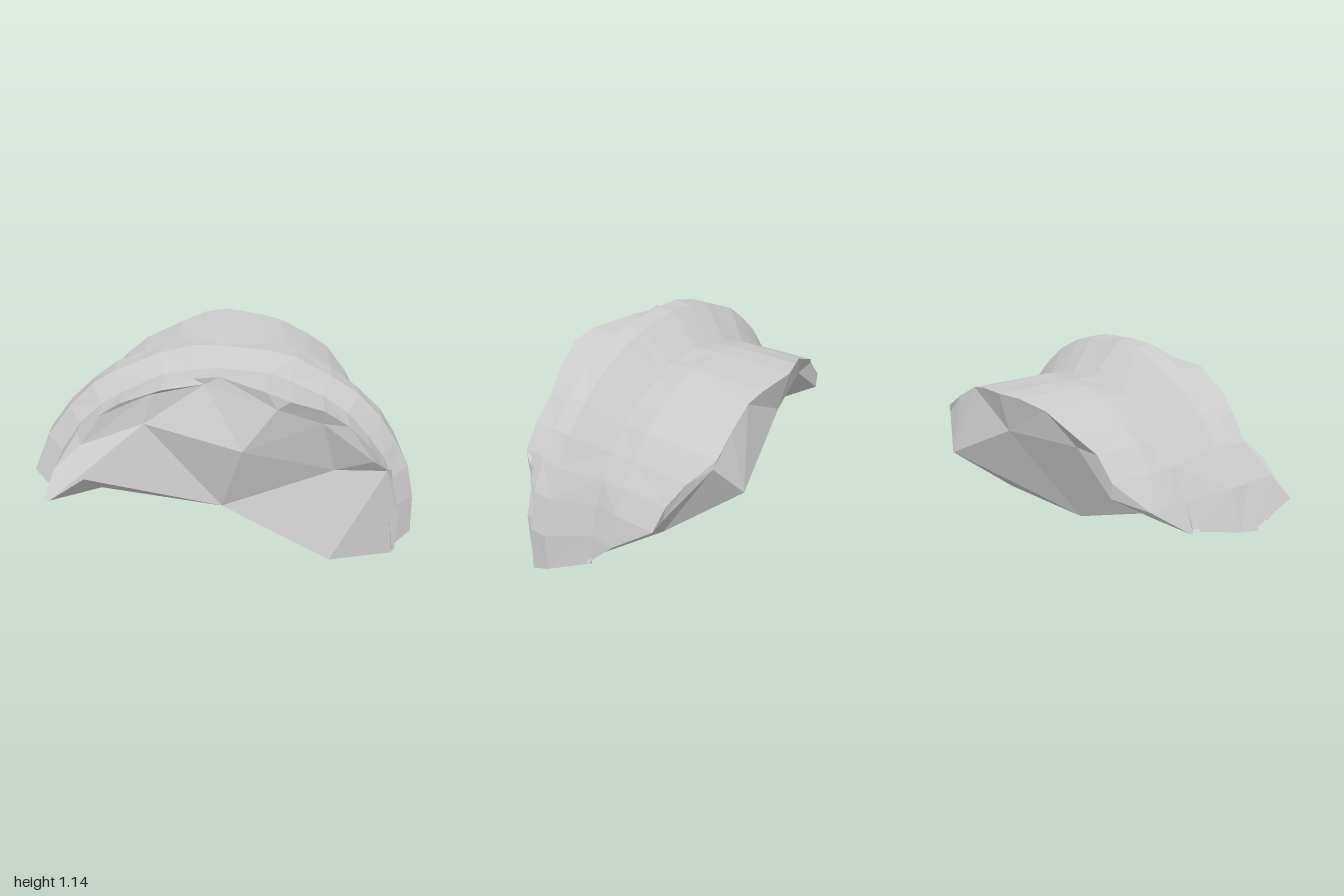
import * as THREE from 'three';

const CENTRE_X = -0.008;
const CENTRE_Y = 0.14;

// Each station round the arc: angle in degrees, front edge z, back edge z (left of the front face to its right)
const STATIONS = [
  [170, 0.59, -0.03], [151, 0.5, -0.22], [139, 0.41, -0.36], [129, 0.44, -0.37],
  [121, 0.46, -0.42], [107, 0.49, -0.46], [98, 0.42, -0.52], [90, 0.43, -0.56],
  [76, 0.52, -0.54], [69, 0.54, -0.53], [58, 0.49, -0.54], [48, 0.45, -0.55],
  [38, 0.45, -0.46], [29, 0.45, -0.39], [20, 0.37, -0.36], [9, 0.37, -0.14],
  [-10, 0.36, 0.0],
];

// Moulding profile, back to front: z (or broken edge), radius, angles where the arc stops
const PROFILE = [
  ['back', 0.855, 161, 0], [-0.14, 0.855, 161, -1], [0.008, 0.838, 161, -2],
  [0.155, 1.005, 163, -2], [0.255, 1.008, 164, -4], [0.325, 0.92, 165, -6],
  ['front', 0.92, 160, -8],
];

const v = ([x, y, z]) => new THREE.Vector3(x, y, z);

function shellRow([z, radius, leftStop, rightStop], k) {
  return STATIONS.map(([deg, front, back], i) => {
    const a = THREE.MathUtils.degToRad(THREE.MathUtils.clamp(deg, rightStop, leftStop));
    let zz = z;
    if (z === 'back') zz = back;
    else if (z === 'front') zz = front;
    else if (z < 0) zz = Math.max(z, back * 0.5);
    // slight wear on the edges
    const r = radius + 0.004 * Math.sin(i * 2.3 + k * 1.7);
    return new THREE.Vector3(CENTRE_X + Math.cos(a) * r, CENTRE_Y + Math.sin(a) * r, zz);
  });
}

// Joins two left-to-right rows, always taking the shorter diagonal
function stitch(a, b, out) {
  let i = 0, j = 0;
  while (i < a.length - 1 || j < b.length - 1) {
    const stepA = j === b.length - 1 ||
      (i < a.length - 1 && a[i + 1].distanceTo(b[j]) <= a[i].distanceTo(b[j + 1]));
    if (stepA) out.push(a[i], b[j], a[++i]);
    else out.push(a[i], b[j], b[++j]);
  }
}

// Closes a loop of points with a fan from its middle
function fan(loop, reverse, out) {
  const mid = new THREE.Vector3();
  loop.forEach((p) => mid.addScaledVector(p, 1 / loop.length));
  loop.forEach((p, i) => {
    const q = loop[(i + 1) % loop.length];
    if (reverse) out.push(mid, q, p);
    else out.push(mid, p, q);
  });
}

function addMesh(group, name, points) {
  const geometry = new THREE.BufferGeometry().setFromPoints(points);
  geometry.computeVertexNormals();
  const material = new THREE.MeshStandardMaterial({
    color: 0xcccccc, flatShading: true, side: THREE.DoubleSide,
  });
  const mesh = new THREE.Mesh(geometry, material);
  mesh.name = name;
  group.add(mesh);
}

export function createModel() {
  const group = new THREE.Group();
  group.name = 'brokenColumnFragment';

  const shell = PROFILE.map(shellRow);

  // Ridges of the broken stone, left to right
  const chippedRim = [
    [-0.85, 0.46, 0.59], [-0.69, 0.68, 0.43], [-0.34, 0.98, 0.46], [-0.08, 1.02, 0.42],
    [0.26, 0.95, 0.53], [0.48, 0.84, 0.46], [0.74, 0.62, 0.44], [0.84, 0.54, 0.385],
    [0.88, 0.3, 0.365], [0.89, 0.03, 0.36],
  ].map(v);
  const frontRidge = [
    [-0.83, 0.46, 0.59], [-0.37, 0.83, 0.47], [0.1, 0.73, 0.55],
    [0.56, 0.53, 0.38], [0.82, 0.53, 0.38], [0.85, 0.3, 0.37], [0.89, 0.02, 0.365],
  ].map(v);
  const frontLowerEdge = [
    [-0.82, 0.45, 0.57], [-0.65, 0.6, 0.61], [0, 0.35, 0.45],
    [0.55, 0.06, 0.5], [0.89, 0.005, 0.36],
  ].map(v);
  const overhangEdge = [
    v([-0.87, 0.38, 0.45]), v([-0.6, 0.44, 0.44]), frontLowerEdge[2],
  ];
  const underEdge = [...overhangEdge, ...frontLowerEdge.slice(3)];
  const backLowerEdge = [
    [-0.81, 0.42, 0.02], [-0.58, 0.44, -0.05], [-0.2, 0.32, -0.22],
    [0.53, 0.22, -0.2], [0.79, 0.15, 0.03],
  ].map(v);
  const backRidge = [
    [-0.8, 0.43, -0.02], [-0.74, 0.52, -0.2], [-0.64, 0.62, -0.36], [-0.4, 0.8, -0.38],
    [0, 0.79, -0.51], [0.43, 0.56, -0.61], [0.58, 0.73, -0.54], [0.73, 0.47, -0.37],
    [0.81, 0.15, 0],
  ].map(v);

  // Curved outer face with its raised band
  const outer = [];
  for (let i = 0; i < shell.length - 1; i++) stitch(shell[i], shell[i + 1], outer);
  addMesh(group, 'mouldedOuterFace', outer);

  // Broken faces
  const front = [];
  stitch(shell[shell.length - 1], chippedRim, front);
  stitch(chippedRim, frontRidge, front);
  stitch(frontRidge, frontLowerEdge, front);
  addMesh(group, 'brokenFront', front);

  const under = [];
  stitch(frontLowerEdge.slice(0, 3), overhangEdge, under);
  stitch(underEdge, backLowerEdge, under);
  addMesh(group, 'brokenUnderside', under);

  const back = [];
  stitch(backLowerEdge, backRidge, back);
  stitch(backRidge, shell[0], back);
  addMesh(group, 'brokenBack', back);

  // Ends of the arc
  const sides = [...shell, chippedRim, frontRidge, frontLowerEdge];
  const rightRows = [...sides, overhangEdge, backLowerEdge, backRidge];
  const leftRows = [...sides, backLowerEdge, backRidge];
  const rightEnd = [], leftEnd = [];
  fan(rightRows.map((r) => r[0]), true, rightEnd);
  fan(leftRows.map((r) => r[r.length - 1]), false, leftEnd);
  addMesh(group, 'rightEnd', rightEnd);
  addMesh(group, 'leftEnd', leftEnd);

  return group;
}
